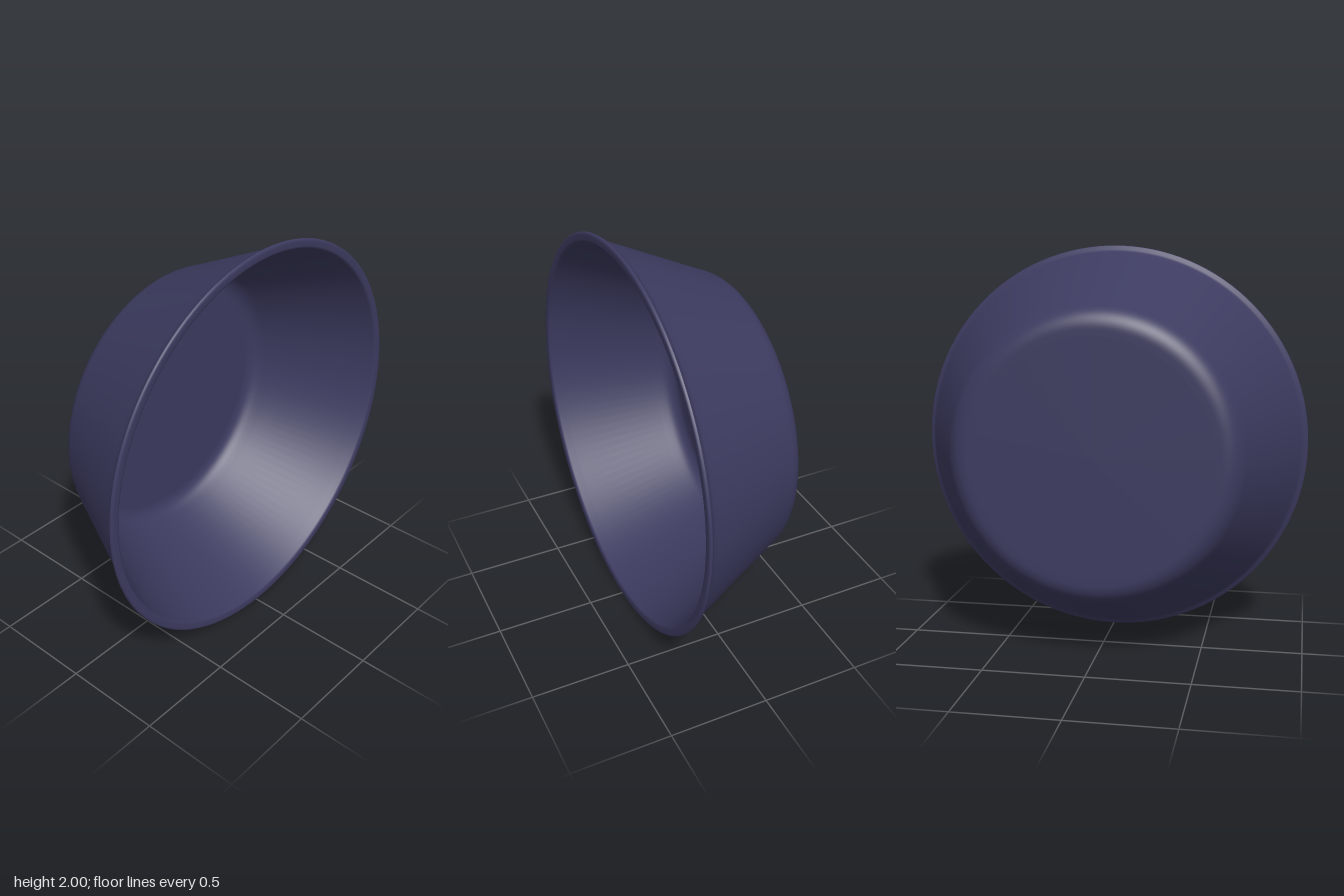
import * as THREE from 'three';

const v = (r, z) => new THREE.Vector2(r, z);

// rounded corner between base and wall
const corner = (a, b, c) => new THREE.QuadraticBezierCurve(a, b, c).getPoints(10);

export function createModel() {
  const group = new THREE.Group();
  group.name = 'bowl';
  const navy = new THREE.MeshStandardMaterial({ color: 0x3c3b60 });
  navy.name = 'navy';

  // adds one revolved surface with its axis along z
  const turn = (name, points) => {
    const mesh = new THREE.Mesh(new THREE.LatheGeometry(points, 128), navy);
    mesh.name = name;
    mesh.rotation.x = Math.PI / 2;
    mesh.position.y = 1;
    group.add(mesh);
  };

  // base and sloping outer wall, ending in the flared lip
  turn('outerShell', [
    v(0, -0.32), v(0.58, -0.32),
    ...corner(v(0.61, -0.32), v(0.685, -0.32), v(0.722, -0.24)),
    v(0.74, -0.2), v(0.955, 0.25), v(0.97, 0.28),
    v(0.98, 0.292), v(0.997, 0.302), v(1, 0.308),
  ]);

  // narrow rolled rim around the opening
  turn('rim', [
    v(1, 0.308), v(0.999, 0.315), v(0.994, 0.32), v(0.985, 0.32),
    v(0.965, 0.32), v(0.957, 0.317), v(0.953, 0.31),
  ]);

  // inner wall and flat floor
  turn('innerShell', [
    v(0.953, 0.31), v(0.935, 0.27), v(0.72, -0.2),
    ...corner(v(0.703, -0.235), v(0.675, -0.298), v(0.61, -0.298)),
    v(0.58, -0.298), v(0, -0.298),
  ]);

  return group;
}
